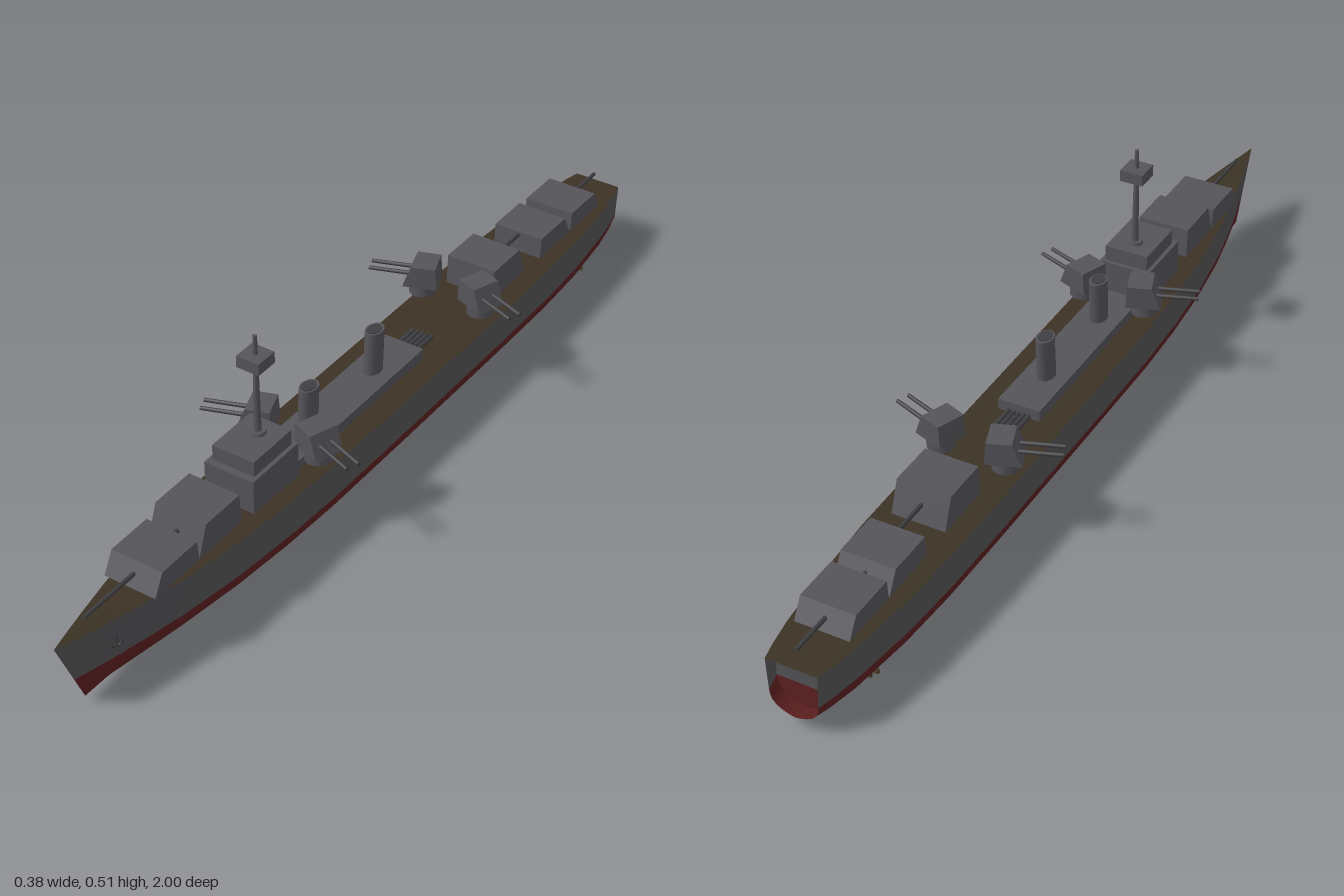
import * as THREE from 'three';

const mat = (name, color, side = THREE.FrontSide) => {
  const m = new THREE.MeshStandardMaterial({ color, side });
  m.name = name;
  return m;
};

export function createModel() {
  const ship = new THREE.Group();
  ship.name = 'warship';
  const hullGrey = mat('hull grey', 0x525254, THREE.DoubleSide);
  const red = mat('bottom red', 0x5c1f1f, THREE.DoubleSide);
  const wood = mat('deck brown', 0x3c3225, THREE.DoubleSide);
  const grey = mat('superstructure grey', 0x545459);
  const dark = mat('gun grey', 0x3e3e42);
  const bronze = mat('propeller bronze', 0x4a3b22);

  const add = (name, geo, material, x = 0, y = 0, z = 0, parent = ship) => {
    const m = new THREE.Mesh(geo, material);
    m.name = name;
    m.position.set(x, y, z);
    parent.add(m);
    return m;
  };
  // Box given by its bottom height
  const box = (name, w, h, d, material, x, y, z, parent) =>
    add(name, new THREE.BoxGeometry(w, h, d), material, x, y + h / 2, z, parent);

  // Hull stations: z, half width at deck, deck height, keel height, fullness of bottom
  const stations = [
    [-1, 0.056, 0.149, 0.028, 0.85], [-0.96, 0.065, 0.149, 0.02, 0.9], [-0.9, 0.075, 0.149, 0.013, 0.95],
    [-0.75, 0.091, 0.149, 0.01, 1], [-0.6, 0.099, 0.15, 0.01, 1], [-0.4, 0.101, 0.151, 0.01, 1],
    [0, 0.101, 0.154, 0.01, 1], [0.25, 0.1, 0.157, 0.01, 1], [0.4, 0.096, 0.159, 0.01, 0.95],
    [0.55, 0.086, 0.162, 0.01, 0.88], [0.7, 0.067, 0.166, 0.01, 0.78], [0.8, 0.048, 0.17, 0.01, 0.7],
    [0.9, 0.026, 0.175, 0.011, 0.62], [0.96, 0.011, 0.179, 0.012, 0.6], [1, 0.0005, 0.182, 0.013, 0.6],
  ];
  const waterline = 0.074;
  // Fractions of height and width from keel to waterline
  const lower = [[0, 0], [0.06, 0.3], [0.16, 0.55], [0.32, 0.77], [0.55, 0.92], [0.8, 0.985], [1, 1]];
  const upper = [0, 0.33, 0.66, 1];
  const section = (st, part) => {
    const [z, w, top, keel, full] = st;
    const ease = Math.max(0, (z - 0.6) / 0.4);
    const rake = (y) => z - 0.07 * ease * ease * (top - y) / (top - keel);
    const wl = w * (0.6 + 0.4 * full);
    const half = part === 'lower'
      ? lower.map(([v, u]) => [wl * Math.pow(u, 1 / full), keel + v * (waterline - keel)])
      : upper.map((v) => [wl + (w - wl) * v, waterline + v * (top - waterline)]);
    return half.map(([x, y]) => new THREE.Vector3(x, y, rake(y)));
  };
  // Skin joining equal rows of points
  const loft = (rows, flip = false) => {
    const n = rows[0].length, idx = [];
    for (let i = 0; i < rows.length - 1; i++) {
      for (let j = 0; j < n - 1; j++) {
        const a = i * n + j, b = a + 1, c = a + n, d = c + 1;
        idx.push(...(flip ? [a, c, b, b, c, d] : [a, b, c, b, d, c]));
      }
    }
    const g = new THREE.BufferGeometry().setFromPoints(rows.flat());
    g.setIndex(idx);
    g.computeVertexNormals();
    return g;
  };
  const mirror = (p) => new THREE.Vector3(-p.x, p.y, p.z);
  const full = (st, part) => {
    const s = section(st, part);
    return [...s.slice(part === 'lower' ? 1 : 0).reverse().map(mirror), ...s];
  };
  add('hullBottom', loft(stations.map((s) => full(s, 'lower')), false), red);
  const sides = stations.map((s) => section(s, 'upper'));
  add('hullSideLeft', loft(sides, false), hullGrey);
  add('hullSideRight', loft(sides.map((r) => r.map(mirror)), true), hullGrey);
  add('deck', loft(stations.map(([z, w, y]) => [new THREE.Vector3(-w, y, z), new THREE.Vector3(w, y, z)]), true), wood);
  // Transom set just inside the stern
  for (const [part, material] of [['lower', red], ['upper', hullGrey]]) {
    const s = section(stations[1], part);
    add('transom', loft([s.map(mirror), s], true), material);
  }

  // Gunhouse: side profile with a sloped face, facing +z
  const gunhouse = (w, l, h, slope) => {
    const shape = new THREE.Shape([
      new THREE.Vector2(-l / 2, 0), new THREE.Vector2(l / 2, 0),
      new THREE.Vector2(l / 2 - slope, h), new THREE.Vector2(-l / 2 + 0.004, h),
    ]);
    return new THREE.ExtrudeGeometry(shape, { depth: w, bevelEnabled: false }).translate(0, 0, -w / 2).rotateY(-Math.PI / 2);
  };
  const barrel = (len, r) => new THREE.CylinderGeometry(r * 0.85, r, len, 12).rotateX(Math.PI / 2).translate(0, 0, len / 2);

  // Main turrets: z, bottom, top, direction, barrel reach
  const mains = [
    [0.715, 0.172, 0.219, 1, 0.2], [0.58, 0.172, 0.24, 1, 0.18],
    [-0.488, 0.16, 0.229, -1, 0.155], [-0.692, 0.155, 0.203, -1, 0.15], [-0.83, 0.155, 0.199, -1, 0.15],
  ];
  for (const [z, y0, y1, dir, reach] of mains) {
    const t = new THREE.Group();
    t.name = 'mainTurret';
    t.position.set(0, 0, z);
    if (dir < 0) t.rotation.y = Math.PI;
    ship.add(t);
    add('gunhouse', gunhouse(0.12, 0.135, y1 - y0, 0.025), grey, 0, y0, 0, t);
    add('barbette', new THREE.CylinderGeometry(0.054, 0.054, y0 - 0.14, 24), grey, 0, (y0 + 0.14) / 2, 0, t);
    add('barrel', barrel(reach, 0.005), dark, 0, y0 + (y1 - y0) * 0.5, 0, t);
  }

  // Twin secondary turrets trained outboard
  for (const side of [1, -1]) {
    for (const z of [0.272, -0.342]) {
      const t = new THREE.Group();
      t.name = 'secondaryTurret';
      t.position.set(side * 0.074, 0, z);
      t.rotation.y = side * THREE.MathUtils.degToRad(70);
      ship.add(t);
      add('gunhouse', gunhouse(0.066, 0.076, 0.052, 0.02), grey, 0, 0.203, 0, t);
      add('mount', new THREE.CylinderGeometry(0.029, 0.029, 0.027, 20), grey, 0, 0.1905, 0, t);
      for (const s of [-1, 1]) add('barrel', barrel(0.117, 0.005), dark, s * 0.014, 0.228, 0, t);
    }
  }

  // Bridge and deckhouse
  box('bridgeBase', 0.118, 0.09, 0.15, grey, 0, 0.148, 0.395);
  box('bridgeTop', 0.1, 0.036, 0.125, grey, 0, 0.237, 0.392);
  box('deckhouse', 0.096, 0.03, 0.46, grey, 0, 0.148, 0.075);

  // Mast with lookout
  add('mastFoot', new THREE.CylinderGeometry(0.016, 0.018, 0.008, 16), grey, 0, 0.276, 0.372);
  add('mast', new THREE.CylinderGeometry(0.0045, 0.008, 0.235, 12), grey, 0, 0.388, 0.372);
  box('lookout', 0.053, 0.026, 0.053, grey, 0, 0.436, 0.372);

  // Oval funnels with a dark mouth
  for (const z of [0.2, -0.038]) {
    const shear = (g) => g.scale(0.8, 1, 1.1).applyMatrix4(new THREE.Matrix4().makeShear(0, 0, 0, -0.06, 0, 0));
    add('funnel', shear(new THREE.CylinderGeometry(0.023, 0.023, 0.102, 24)), grey, 0, 0.227, z);
    add('funnelMouth', new THREE.CylinderGeometry(0.018, 0.018, 0.002, 24).scale(0.8, 1, 1.1), dark, 0, 0.2785, z - 0.002);
  }

  // Torpedo tubes aft of the deckhouse
  for (let i = -2; i <= 2; i++) {
    add('torpedoTube', new THREE.CylinderGeometry(0.0055, 0.0055, 0.075, 10).rotateX(Math.PI / 2), dark, i * 0.0115, 0.157, -0.19);
  }

  // Propellers, shafts and anchors on both sides
  for (const side of [1, -1]) {
    const p = new THREE.Group();
    p.name = 'propeller';
    p.position.set(side * 0.045, 0.022, -0.82);
    ship.add(p);
    add('shaft', new THREE.CylinderGeometry(0.004, 0.004, 0.08, 10).rotateX(Math.PI / 2), bronze, 0, 0, 0.035, p);
    for (let i = 0; i < 2; i++) {
      add('blades', new THREE.BoxGeometry(0.01, 0.044, 0.006), bronze, 0, 0, 0, p).rotation.z = i * Math.PI / 2;
    }
    const a = new THREE.Group();
    a.name = 'anchor';
    a.position.set(side * 0.03, 0.118, 0.865);
    a.rotation.y = side * 1.23;
    ship.add(a);
    add('shank', new THREE.CylinderGeometry(0.002, 0.002, 0.03, 8), dark, 0, 0, 0, a);
    add('flukes', new THREE.TorusGeometry(0.012, 0.002, 8, 16, Math.PI), dark, 0, -0.003, 0, a).rotation.z = Math.PI;
  }
  return ship;
}
